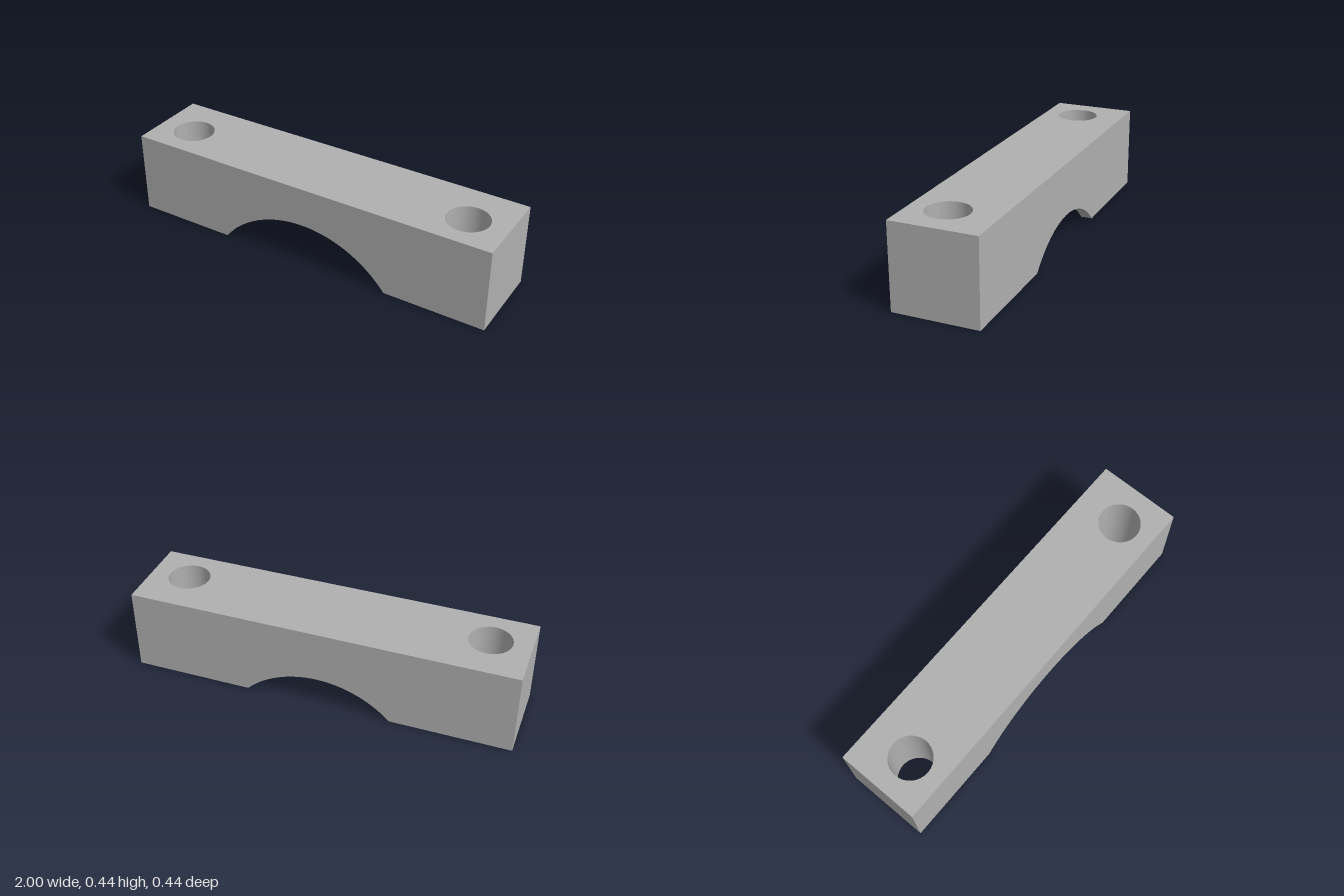
import * as THREE from 'three';

const H = 0.438, D = 0.438, Z = D / 2;   // height, depth, half depth
const AXIS = -0.366;                     // height of the bore axis
const R_BORE = 0.594, R_LIP = 0.527;     // main bore, narrower rear lip
const Z_STEP = -0.158;                   // where the lip meets the bore
const HOLE_R = 0.108, HOLE_Z = 0.028, HOLE_X = [-0.798, 0.795];
const SEG = 32;

const halfAngle = r => Math.acos(-AXIS / r);
const halfChord = r => Math.sqrt(r * r - AXIS * AXIS);

// Turns a surface inside out
function flip(geo) {
  const i = geo.index.array, n = geo.attributes.normal.array;
  for (let k = 0; k < i.length; k += 3) [i[k], i[k + 1]] = [i[k + 1], i[k]];
  for (let k = 0; k < n.length; k++) n[k] = -n[k];
  return geo;
}

function polygon(points) {
  return new THREE.Shape(points.map(p => new THREE.Vector2(...p)));
}

function addHole(shape, x, y) {
  const hole = new THREE.Path();
  hole.absarc(x, y, HOLE_R, 0, Math.PI * 2, true);
  shape.holes.push(hole);
}

// Arch over the bore, drawn from -x to +x (or back)
function arch(shape, r, back = false) {
  const a = Math.PI / 2 + halfAngle(r), b = Math.PI / 2 - halfAngle(r);
  return back ? shape.absarc(0, AXIS, r, b, a, false) : shape.absarc(0, AXIS, r, a, b, true);
}

// Long face with the bore cut from its lower edge
function longFace(r) {
  const s = new THREE.Shape();
  s.moveTo(-1, 0);
  arch(s, r);
  s.lineTo(1, 0).lineTo(1, H).lineTo(-1, H).lineTo(-1, 0);
  return new THREE.ShapeGeometry(s, SEG);
}

// Concave barrel between two depths
function barrel(r, z0, z1) {
  const t = halfAngle(r);
  const g = new THREE.CylinderGeometry(r, r, z1 - z0, SEG * 2, 1, true, -t, t * 2);
  return flip(g.rotateX(-Math.PI / 2).translate(0, AXIS, (z0 + z1) / 2));
}

export function createModel() {
  const model = new THREE.Group();
  model.name = 'bearingCap';
  const grey = new THREE.MeshStandardMaterial({ color: 0xb0b0b0 });
  grey.name = 'grey';
  const add = (name, geo) => {
    const mesh = new THREE.Mesh(geo, grey);
    mesh.name = name;
    model.add(mesh);
  };

  // Outer faces of the block
  add('frontFace', longFace(R_BORE).translate(0, 0, Z));
  add('backFace', longFace(R_LIP).rotateY(Math.PI).translate(0, 0, -Z));
  const top = polygon([[-1, -Z], [1, -Z], [1, Z], [-1, Z]]);
  HOLE_X.forEach(x => addHole(top, x, -HOLE_Z));
  add('topFace', new THREE.ShapeGeometry(top, SEG).rotateX(-Math.PI / 2).translate(0, H, 0));

  // Each end: side face, stepped foot and bolt hole
  const wide = halfChord(R_BORE), narrow = halfChord(R_LIP);
  HOLE_X.forEach(x => {
    const s = Math.sign(x), side = s > 0 ? 'left' : 'right';
    add(side + 'End', new THREE.PlaneGeometry(D, H).rotateY(s * Math.PI / 2).translate(s, H / 2, 0));
    const foot = polygon([[s, -Z], [s, Z], [s * wide, Z], [s * wide, Z_STEP],
      [s * narrow, Z_STEP], [s * narrow, -Z]]);
    addHole(foot, x, HOLE_Z);
    add(side + 'Foot', new THREE.ShapeGeometry(foot, SEG).rotateX(Math.PI / 2));
    const wall = new THREE.CylinderGeometry(HOLE_R, HOLE_R, H, SEG * 2, 1, true);
    add(side + 'BoltHole', flip(wall.rotateY(Math.PI / 2).translate(x, H / 2, HOLE_Z)));
  });

  // Stepped bore
  add('boreSurface', barrel(R_BORE, Z_STEP, Z));
  add('lipSurface', barrel(R_LIP, -Z, Z_STEP));
  const step = new THREE.Shape();
  step.moveTo(-wide, 0);
  arch(step, R_BORE);
  step.lineTo(narrow, 0);
  arch(step, R_LIP, true);
  step.lineTo(-wide, 0);
  add('lipStep', new THREE.ShapeGeometry(step, SEG).translate(0, 0, Z_STEP));

  return model;
}
